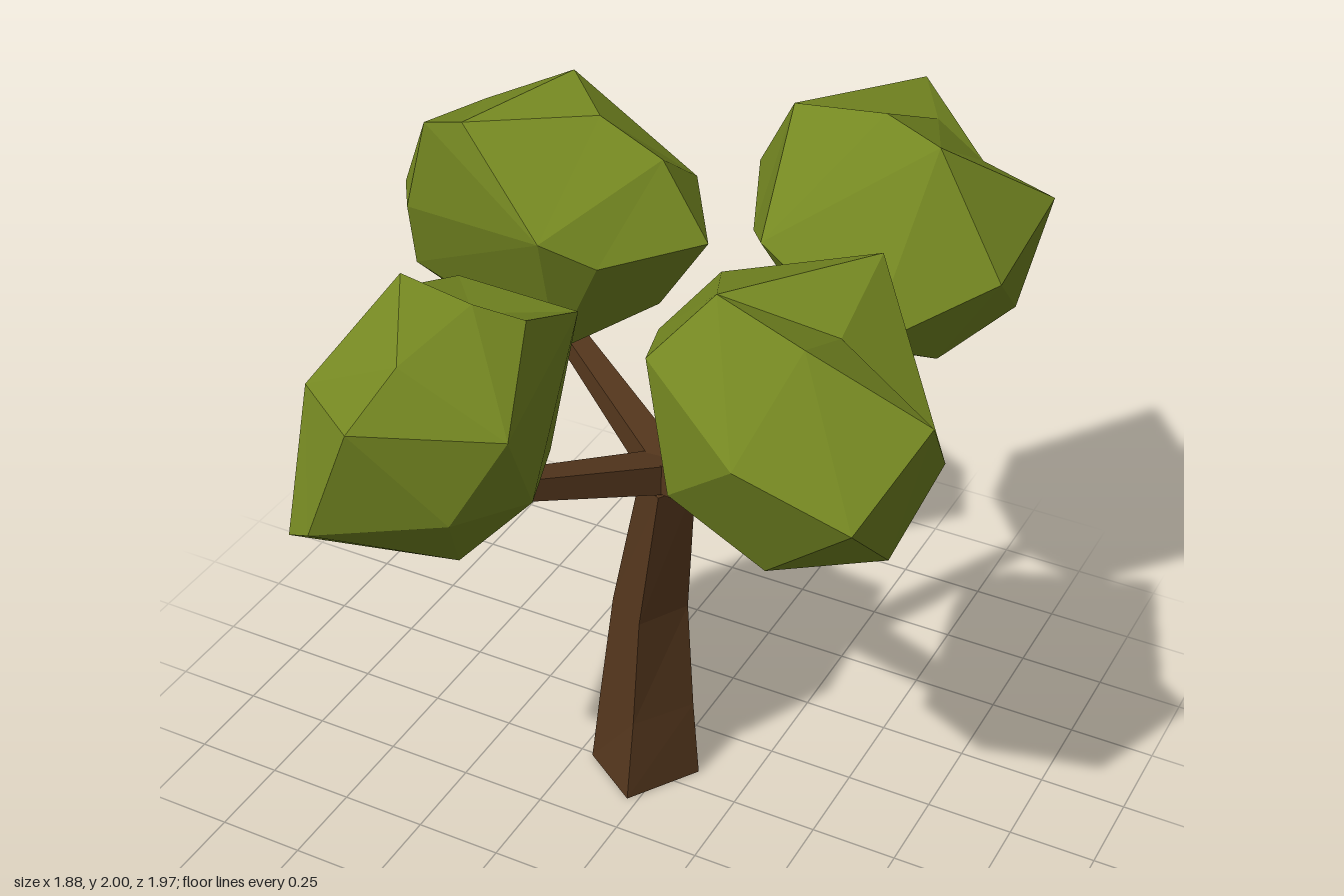
import * as THREE from 'three';
import { ConvexGeometry } from 'three/addons/geometries/ConvexGeometry.js';

const V = (x, y, z) => new THREE.Vector3(x, y, z);

// Skin four-cornered rings into a closed, faceted limb
function loft(rings) {
  const pos = [];
  const quad = (a, b, c, d) => [a, b, c, a, c, d].forEach((p) => pos.push(p.x, p.y, p.z));
  for (let r = 0; r < rings.length - 1; r++) {
    for (let i = 0; i < 4; i++) {
      const j = (i + 1) % 4;
      quad(rings[r][i], rings[r][j], rings[r + 1][j], rings[r + 1][i]);
    }
  }
  quad(...[...rings[0]].reverse());
  quad(...rings[rings.length - 1]);
  const geo = new THREE.BufferGeometry();
  geo.setAttribute('position', new THREE.Float32BufferAttribute(pos, 3));
  geo.computeVertexNormals();
  return geo;
}

// Tapered square limb between two points
function limb(from, to, r0, r1) {
  const dir = to.clone().sub(from).normalize();
  const side = V(0, 1, 0).cross(dir).normalize();
  const up = dir.clone().cross(side);
  const ring = (c, r) => [[1, 1], [-1, 1], [-1, -1], [1, -1]].map(([a, b]) =>
    c.clone().addScaledVector(side, a * r).addScaledVector(up, b * r));
  return loft([ring(from, r0), ring(to, r1)]);
}

// Leaf clump: corners are joined up on a sphere, then moved in or out, so dents are kept
function clump(corners) {
  const pts = corners.map((p) => V(...p));
  const centre = new THREE.Box3().setFromPoints(pts).getCenter(V(0, 0, 0));
  const dirs = pts.map((p) => p.clone().sub(centre).normalize());
  const geo = new ConvexGeometry(dirs);
  const pos = geo.attributes.position;
  const v = V(0, 0, 0);
  for (let i = 0; i < pos.count; i++) {
    v.fromBufferAttribute(pos, i);
    const k = dirs.findIndex((d) => d.distanceTo(v) < 1e-4);
    pos.setXYZ(i, ...pts[k].toArray());
  }
  geo.computeVertexNormals();
  return geo;
}

// Leaning trunk: [height, then x, z of front, right, back and left corners]
const trunkRings = [
  [0, -0.03, 0.13, 0.10, -0.07, -0.08, -0.19, -0.21, 0.01],
  [0.25, -0.03, 0.09, 0.08, -0.07, -0.07, -0.15, -0.18, 0.01],
  [0.6, -0.02, 0.07, 0.06, -0.07, -0.06, -0.14, -0.14, 0.0],
  [1.05, 0.04, 0.07, 0.10, -0.03, 0.02, -0.07, -0.04, 0.03],
];

// Corners of each leaf clump
const clumps = {
  backRightLeaves: [
    [-0.94, 1.58, -0.29], [-0.86, 1.45, -0.51], [-0.86, 1.39, -0.2], [-0.71, 1.5, -0.62],
    [-0.32, 1.6, -0.61], [-0.12, 1.72, -0.46], [0, 1.63, -0.29], [-0.14, 1.84, -0.3],
    [-0.22, 1.6, -0.08], [-0.35, 1.68, 0], [-0.84, 1.6, -0.14], [-0.75, 1.89, -0.11],
    [-0.62, 1.93, -0.09], [-0.48, 1.96, -0.44], [-0.75, 1.82, -0.42], [-0.32, 1.93, -0.29],
    [-0.71, 1.23, -0.3], [-0.4, 1.25, -0.17], [-0.33, 1.29, -0.57], [-0.15, 1.4, -0.3],
    [-0.6, 1.3, -0.5],
  ],
  backLeftLeaves: [
    [-0.01, 1.72, -0.62], [0.12, 1.56, -0.87], [0.14, 1.98, -0.5], [0.39, 2.0, -0.52],
    [0.31, 1.88, -0.99], [0.64, 1.45, -0.97], [0.77, 1.72, -0.79], [0.76, 1.63, -0.45],
    [0.5, 1.5, -0.21], [0.17, 1.7, -0.25], [0.05, 1.6, -0.46], [0.55, 1.95, -0.5],
    [0.13, 1.5, -0.6], [0.3, 1.34, -0.42], [0.6, 1.36, -0.45], [0.38, 1.28, -0.6],
    [0.6, 1.35, -0.87], [0.72, 1.42, -0.7], [0.33, 1.42, -0.9], [0.57, 1.79, -0.77],
    [0.42, 1.86, -0.81],
  ],
  frontLeftLeaves: [
    [0.14, 1.71, 0.26], [0.15, 1.59, -0.02], [0.36, 1.73, -0.03], [0.36, 1.44, -0.02],
    [0.47, 1.75, -0.03], [0.62, 1.93, 0.02], [0.36, 1.94, 0.39], [0.65, 1.95, 0.53],
    [0.94, 1.78, 0.45], [0.9, 1.55, 0.25], [0.84, 1.58, 0.66], [0.53, 1.65, 0.65],
    [0.3, 1.43, 0.52], [0.21, 1.76, 0.46], [0.22, 1.8, 0.08], [0.85, 1.38, 0.45],
    [0.6, 1.22, 0.36], [0.55, 1.27, 0.49], [0.44, 1.24, 0.2], [0.22, 1.48, 0.22],
    [0.72, 1.42, 0.04], [0.64, 1.85, 0.3],
  ],
  frontRightLeaves: [
    [-0.36, 1.92, 0.62], [-0.19, 1.86, 0.58], [-0.09, 1.69, 0.25], [-0.09, 1.8, 0.5],
    [-0.3, 1.69, 0.98], [-0.44, 1.35, 0.97], [-0.55, 1.27, 0.9], [-0.69, 1.4, 0.56],
    [-0.62, 1.56, 0.35], [-0.48, 1.65, 0.18], [-0.02, 1.6, 0.72], [-0.03, 1.35, 0.6],
    [-0.22, 1.14, 0.65], [-0.43, 1.11, 0.42], [-0.59, 1.21, 0.6], [-0.52, 1.74, 0.45],
    [-0.14, 1.3, 0.32], [-0.12, 1.4, 0.84], [-0.57, 1.62, 0.75], [-0.4, 1.35, 0.2],
    [-0.29, 1.72, 0.42], [-0.28, 1.77, 0.78],
  ],
};

export function createModel() {
  const tree = new THREE.Group();
  tree.name = 'tree';
  const bark = new THREE.MeshStandardMaterial({ color: 0x55371d, flatShading: true });
  const leaf = new THREE.MeshStandardMaterial({ color: 0x768922, flatShading: true });
  const add = (name, geo, mat) => {
    const mesh = new THREE.Mesh(geo, mat);
    mesh.name = name;
    tree.add(mesh);
  };

  add('trunk', loft(trunkRings.map(([y, ...c]) =>
    [0, 2, 4, 6].map((i) => V(c[i], y, c[i + 1])))), bark);

  // Four branches fanning out of the trunk top
  const tips = {
    backRightBranch: V(-0.39, 1.24, -0.25),
    backLeftBranch: V(0.3, 1.265, -0.49),
    frontLeftBranch: V(0.44, 1.24, 0.26),
    frontRightBranch: V(-0.24, 1.22, 0.43),
  };
  const fork = V(0.03, 1.09, 0);
  for (const [name, tip] of Object.entries(tips)) add(name, limb(fork, tip, 0.045, 0.03), bark);

  // Green shoot joining the back left branch to its leaves
  add('backLeftShoot', limb(tips.backLeftBranch, V(0.35, 1.32, -0.56), 0.028, 0.03), leaf);

  for (const [name, corners] of Object.entries(clumps)) add(name, clump(corners), leaf);
  return tree;
}
